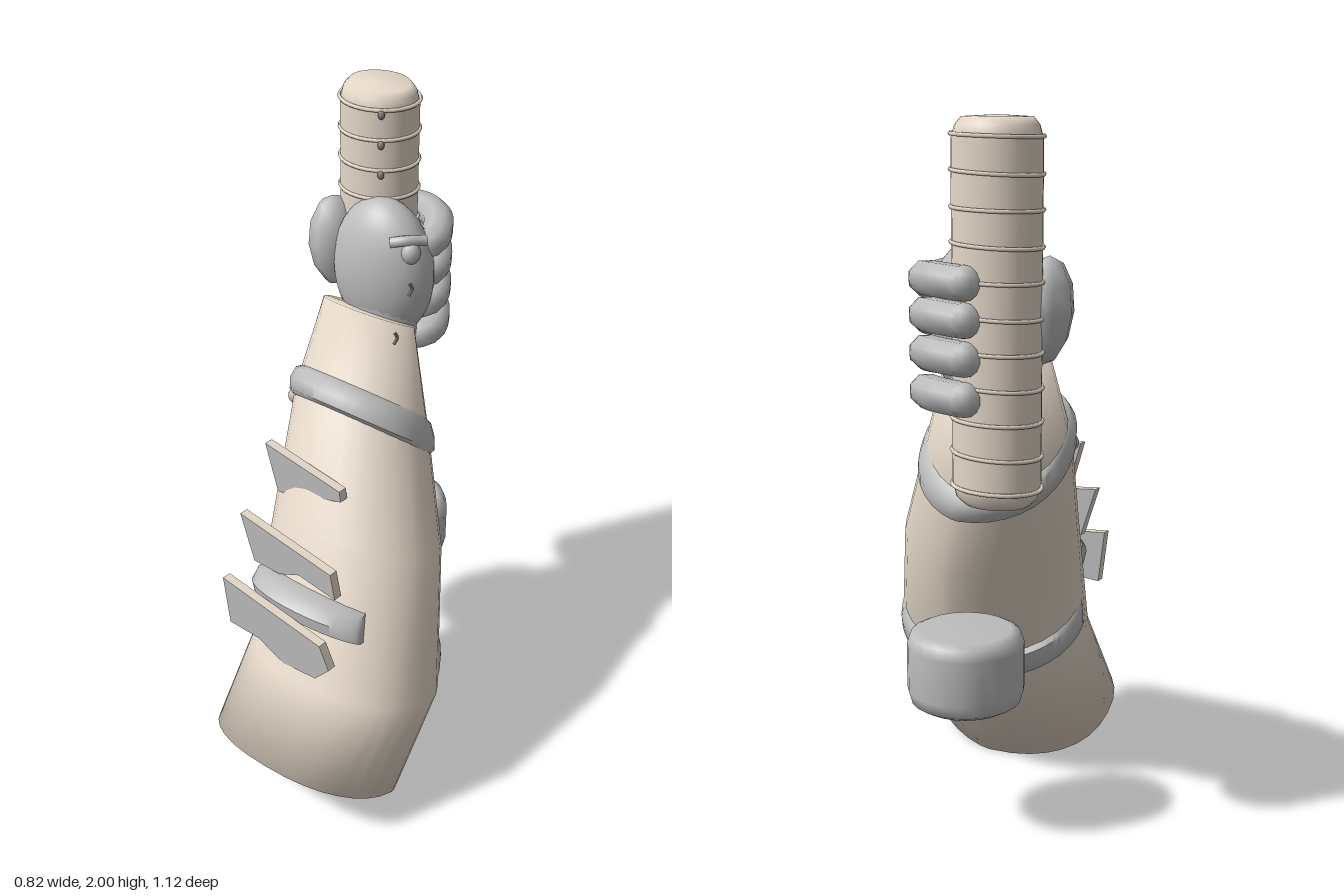
import * as THREE from 'three';
import { toCreasedNormals } from 'three/addons/utils/BufferGeometryUtils.js';

const mat = (name, color, side = THREE.FrontSide) => {
  const m = new THREE.MeshStandardMaterial({ color, side });
  m.name = name;
  return m;
};

// Sleeve sections: front edge (z, y), back edge (z, y), x range
const SECTIONS = [
  { f: [0.56, 0.21], b: [0.11, 0.0], x: [-0.255, 0.375] },
  { f: [0.428, 0.47], b: [-0.08, 0.32], x: [-0.225, 0.405] },
  { f: [0.22, 0.86], b: [-0.23, 0.7], x: [-0.275, 0.283] },
  { f: [0.02, 1.18], b: [-0.33, 0.97], x: [-0.325, 0.125] },
  { f: [-0.155, 1.4], b: [-0.36, 1.285], x: [-0.315, 0.0] },
];

// Point on the sleeve at height t (section index) and angle a, pushed out by grow
function sleevePoint(t, a, grow = 0, shrink = 1) {
  const i = Math.min(Math.floor(t), SECTIONS.length - 2), k = t - i;
  const A = SECTIONS[i], B = SECTIONS[i + 1], L = THREE.MathUtils.lerp;
  const mix = (key) => [L(A[key][0], B[key][0], k), L(A[key][1], B[key][1], k)];
  const f = mix('f'), b = mix('b'), x = mix('x');
  const c = Math.cos(a), s = Math.sin(a);
  const e = c > 0 && s < 0 ? 1.3 : L(0.86, 1, t / 4); // flatter on the left rear
  const u = Math.sign(c) * Math.abs(c) ** e;
  const v = Math.sign(s) * Math.abs(s) ** e;
  const dz = (f[0] - b[0]) / 2, dy = (f[1] - b[1]) / 2, len = Math.hypot(dz, dy);
  const depth = shrink * v * (1 + grow / len);
  return [
    (x[0] + x[1]) / 2 + shrink * u * ((x[1] - x[0]) / 2 + grow),
    (f[1] + b[1]) / 2 + dy * depth,
    (f[0] + b[0]) / 2 + dz * depth,
  ];
}

// Surface from fn(u, v), u running around and v running up
function grid(fn, nu, nv, crease) {
  const pos = [], idx = [];
  for (let j = 0; j <= nv; j++)
    for (let i = 0; i <= nu; i++) pos.push(...fn(i / nu, j / nv));
  for (let j = 0; j < nv; j++)
    for (let i = 0; i < nu; i++) {
      const p = j * (nu + 1) + i, q = p + nu + 1;
      idx.push(p, q, p + 1, p + 1, q, q + 1);
    }
  const g = new THREE.BufferGeometry();
  g.setAttribute('position', new THREE.Float32BufferAttribute(pos, 3));
  g.setIndex(idx);
  return toCreasedNormals(g, crease);
}

export function createModel() {
  const tan = mat('tan cloth', 0xe6d9ca, THREE.DoubleSide);
  const grey = mat('grey', 0xbdbdbd, THREE.DoubleSide);
  const wire = mat('dark wire', 0x847d75);
  const model = new THREE.Group();
  const add = (name, geo, material, parent = model) => {
    const m = new THREE.Mesh(geo, material);
    m.name = name;
    parent.add(m);
    return m;
  };
  const ball = (name, p, r, material, parent, n = 16) => {
    const m = add(name, new THREE.SphereGeometry(1, n, Math.ceil(n * 0.7)), material, parent);
    m.position.set(...p);
    m.scale.set(...r);
    return m;
  };
  const tube = (name, pts, r, material, parent, n = 14) =>
    add(name, new THREE.TubeGeometry(
      new THREE.CatmullRomCurve3(pts.map((p) => new THREE.Vector3(...p))), n, r, 8), material, parent);

  // Sleeve with softly shaded closed ends
  const TAU = Math.PI * 2;
  add('sleeve', grid((u, v) => {
    const row = Math.round(v * 6);
    const capped = row === 0 || row === 6;
    return sleevePoint(THREE.MathUtils.clamp(row - 1, 0, 4), u * TAU, 0, capped ? 0.02 : 1);
  }, 32, 6, Math.PI), tan);

  // Straps follow the sleeve surface; partial ones sink in at their ends
  const profile = [[-1, -0.15], [-0.75, 0.7], [0, 1], [0.75, 0.7], [1, -0.15]];
  function strap(name, a0, a1, tMid, tTilt, width, thick, fade) {
    add(name, grid((u, v) => {
      const a = a0 + (a1 - a0) * u;
      const [w, h] = profile[Math.round(v * 4)];
      return sleevePoint(tMid + tTilt * Math.sin(a) + w * width, a, h * thick * fade(u, a));
    }, 36, 4, 0.9), grey);
  }
  const taper = (power) => (u) => Math.max(0, Math.sin(Math.PI * u)) ** power;
  strap('upperStrap', 0, TAU, 3.0, 0.12, 0.16, 0.034, (u, a) => 1 - 0.7 * Math.cos(a) ** 4);
  strap('lowerStrapFront', 0.95, 2.4, 1.38, 0.16, 0.11, 0.07, taper(0.35));
  strap('lowerStrapBack', 3.0, 5.9, 1.23, 0.1, 0.12, 0.028, taper(0.5));
  ball('strapStud', [-0.29, 1.09, -0.06], [0.026, 0.026, 0.026], grey);

  // Upright arm plates, half sunk into the sleeve
  const plates = [
    [0.148, [[-0.245, 1.045], [0.05, 1.01], [0.055, 0.975], [-0.02, 0.95], [-0.12, 0.9], [-0.2, 0.89]]],
    [0.285, [[-0.235, 0.87], [0.125, 0.83], [0.142, 0.745], [0, 0.76], [-0.08, 0.72], [-0.185, 0.715]]],
    [0.393, [[-0.22, 0.7], [0.17, 0.66], [0.205, 0.585], [0.15, 0.52], [0.02, 0.5], [-0.08, 0.54], [-0.2, 0.535]]],
  ];
  plates.forEach(([z, pts], i) => {
    const g = new THREE.ExtrudeGeometry(
      new THREE.Shape(pts.map((p) => new THREE.Vector2(...p))), { depth: 0.028, bevelEnabled: false });
    g.translate(0, 0, -0.014);
    const m = add('armPlate' + (i + 1), g, [grey, tan]);
    m.position.z = z;
    m.rotation.y = -0.07;
  });

  // Handle with rounded ends and wound cord
  const handle = new THREE.Group();
  handle.name = 'handle';
  handle.position.set(-0.24, 0, -0.41);
  handle.scale.z = 0.84;
  model.add(handle);
  const grip = [[0, 0.985], [0.09, 0.99], [0.112, 1.01], [0.122, 1.05], [0.122, 1.94], [0.112, 1.975], [0.095, 1.995], [0, 2]];
  add('grip', new THREE.LatheGeometry(grip.map((p) => new THREE.Vector2(...p)), 28), tan, handle);
  for (let i = 0; i < 11; i++) {
    const y = 1.04 + i * 0.091;
    const ring = add('cordRing', new THREE.TorusGeometry(0.1235, 0.006, 6, 28), tan, handle);
    ring.position.y = y;
    ring.rotation.set(Math.PI / 2, i % 2 ? 0.05 : 0.03, 0);
    ball('cordKnot', [0.07, y - 0.01, 0.105], [0.011, 0.014, 0.011], wire, handle, 8);
  }

  // Hand: palm, wrist, thumb and curled fingers
  const hand = new THREE.Group();
  hand.name = 'hand';
  model.add(hand);
  ball('palm', [-0.155, 1.465, -0.32], [0.168, 0.225, 0.113], grey, hand, 28);
  const wrist = add('wrist', new THREE.CylinderGeometry(0.13, 0.12, 0.14, 20), grey, hand);
  wrist.position.set(-0.15, 1.33, -0.3);
  wrist.scale.z = 0.65;
  const thumb = ball('thumb', [-0.335, 1.5, -0.32], [0.076, 0.145, 0.092], grey, hand, 8);
  thumb.rotation.z = 0.08;
  [1.585, 1.49, 1.39, 1.285].forEach((y) => {
    const pts = [[-0.08, y - 0.035, -0.335], [-0.03, y - 0.02, -0.385], [-0.05, y, -0.45],
      [-0.115, y + 0.005, -0.505], [-0.2, y, -0.515]];
    const r = 0.047;
    tube('finger', pts, r, grey, hand);
    ball('fingertip', pts[4], [r, r, r], grey, hand, 10);
    ball('knuckle', pts[0], [r, r, r], grey, hand, 10);
  });
  ball('knuckleStud', [-0.03, 1.57, -0.28], [0.03, 0.035, 0.03], grey, hand, 12);
  tube('knuckleBand', [[-0.08, 1.6, -0.25], [-0.04, 1.61, -0.27], [-0.005, 1.6, -0.32]], 0.016, grey, hand, 8);

  // Loose thread ends by the wrist
  [[0.01, 1.36, -0.155], [0.01, 1.49, -0.225]].forEach(([x, y, z]) =>
    tube('threadEnd', [[x, y + 0.022, z + 0.006], [x + 0.004, y, z - 0.004], [x - 0.004, y - 0.022, z]], 0.005, wire, model, 6));

  // Round weight hanging free behind the sleeve
  const knob = [[0, 0.38], [0.13, 0.38], [0.155, 0.395], [0.165, 0.43], [0.165, 0.56], [0.155, 0.59], [0.13, 0.602], [0, 0.602]];
  const weight = add('weight', new THREE.LatheGeometry(knob.map((p) => new THREE.Vector2(...p)), 24), grey);
  weight.position.set(-0.12, 0, -0.367);

  return model;
}
